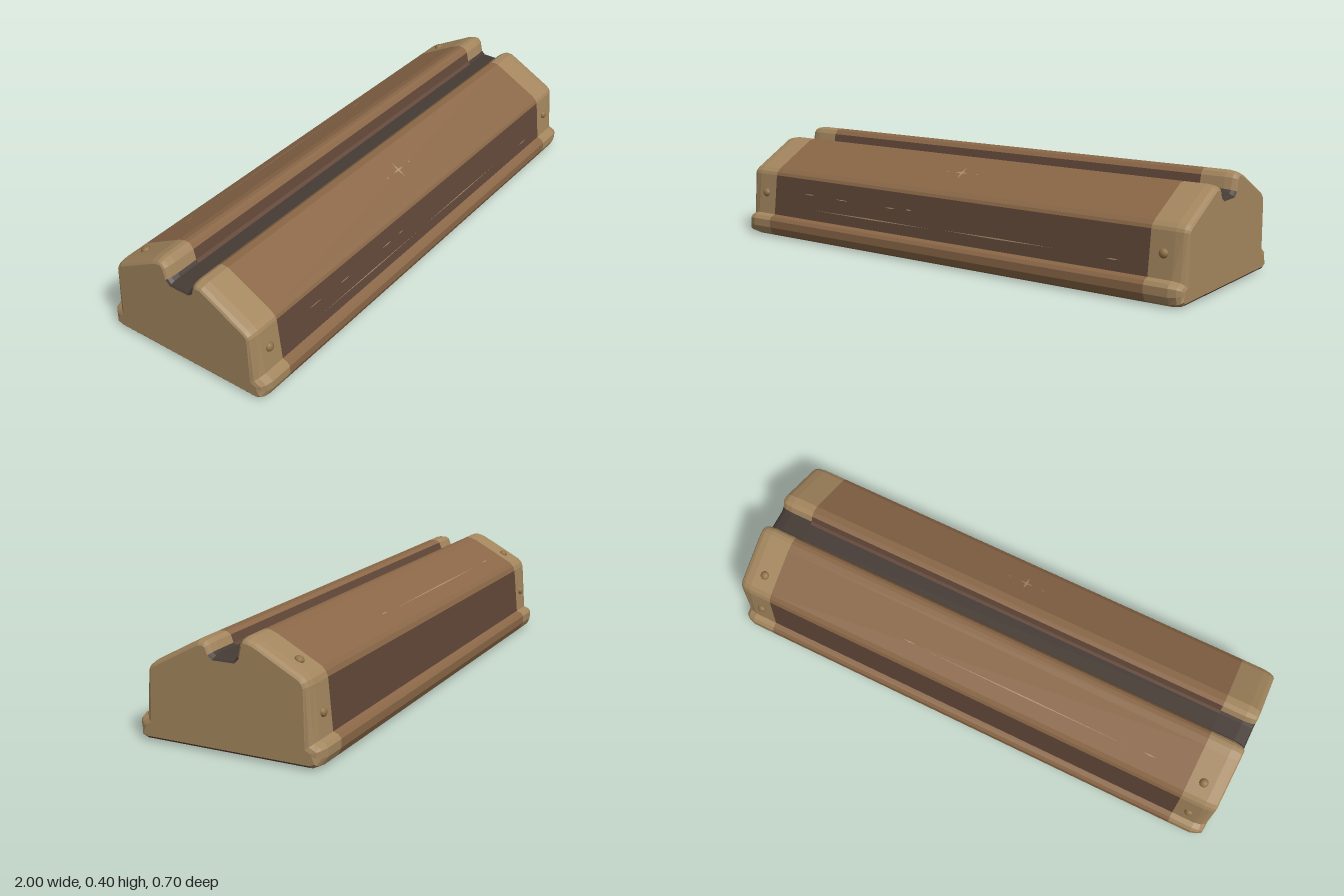
import * as THREE from 'three';

const mat = (name, color) => Object.assign(new THREE.MeshStandardMaterial({ color }), { name });

// Cross-section as [z, y], from the front foot over the top to the back foot
const profile = [
  [0.31, 0], [0.337, 0.013], [0.35, 0.04], [0.35, 0.07], [0.34, 0.083], [0.32, 0.09],
  [0.301, 0.25], [0.296, 0.262], [0.28, 0.276], [0.1, 0.373], [0.072, 0.374], [0.056, 0.364],
  [0.046, 0.338], [0.036, 0.33], [-0.034, 0.33], [-0.044, 0.34], [-0.053, 0.38], [-0.064, 0.395],
  [-0.076, 0.4], [-0.092, 0.4], [-0.12, 0.39], [-0.282, 0.303], [-0.296, 0.288], [-0.303, 0.27],
  [-0.32, 0.09], [-0.34, 0.083], [-0.35, 0.07], [-0.35, 0.04], [-0.337, 0.013], [-0.31, 0],
].map(([z, y]) => new THREE.Vector2(z, y));
const N = profile.length;

// Outward direction of a profile edge
function edgeNormal(i) {
  const d = profile[(i + 1) % N].clone().sub(profile[i]).normalize();
  return new THREE.Vector2(d.y, -d.x);
}

// Profile pulled inwards; the foot rail rounds off more than the rest
function inset(amount) {
  return profile.map((p, i) => {
    const n = edgeNormal(i).add(edgeNormal((i + N - 1) % N)).normalize();
    const k = p.y > 0.02 && p.y < 0.095 ? 2.2 : 1;
    return p.clone().addScaledVector(n, -amount * k);
  });
}

function facetedMesh(name, positions, material) {
  const g = new THREE.BufferGeometry();
  g.setAttribute('position', new THREE.Float32BufferAttribute(positions, 3));
  g.computeVertexNormals();
  const m = new THREE.Mesh(g, material);
  m.name = name;
  return m;
}

// Skin over the profile edges [from..to] along rings of { x, pts } with rising x
function skin(name, rings, ranges, material) {
  const out = [];
  const put = (ring, i) => out.push(ring.x, ring.pts[i % N].y, ring.pts[i % N].x);
  for (let r = 0; r < rings.length - 1; r++) {
    const a = rings[r], b = rings[r + 1];
    for (const [from, to] of ranges) {
      for (let i = from; i <= to; i++) {
        put(a, i); put(b, i); put(b, i + 1);
        put(a, i); put(b, i + 1); put(a, i + 1);
      }
    }
  }
  return facetedMesh(name, out, material);
}

// Flat closing face at either end
function endFace(x, pts, material) {
  const out = [];
  for (const tri of THREE.ShapeUtils.triangulateShape(pts, [])) {
    if (x > 0) tri.reverse();
    for (const i of tri) out.push(x, pts[i].y, pts[i].x);
  }
  return facetedMesh('endFace', out, material);
}

// Put a part on a profile edge, its local z pointing outwards
function mount(part, edge, t, x, lift = 0) {
  const n = edgeNormal(edge);
  const p = profile[edge].clone().lerp(profile[(edge + 1) % N], t).addScaledVector(n, lift);
  part.position.set(x, p.y, p.x);
  part.rotation.x = -Math.atan2(n.y, n.x);
  return part;
}

// Thin pointed sliver
function sliver(name, width, height, material) {
  const w = width / 2, h = height / 2;
  const shape = new THREE.Shape([[-w, 0], [0, -h], [w, 0], [0, h]].map(p => new THREE.Vector2(...p)));
  const m = new THREE.Mesh(new THREE.ShapeGeometry(shape), material);
  m.name = name;
  return m;
}

export function createModel() {
  const model = new THREE.Group();
  model.name = 'groovedBlock';
  const tan = mat('tan', 0xa3865e);
  const brown = mat('brown', 0x8a6747);
  const darkBrown = mat('darkBrown', 0x614738);
  const charcoal = mat('charcoal', 0x463b35);
  const bronze = mat('bronze', 0x8f7248);
  const scratch = mat('paleScratch', 0xa88e70);

  // Long body between the end caps
  const capX = 0.865;
  const body = new THREE.Group();
  body.name = 'body';
  const span = [{ x: -capX, pts: profile }, { x: capX, pts: profile }];
  body.add(
    skin('trim', span, [[0, 4], [6, 10], [16, 22], [24, 28]], brown),
    skin('sidePanels', span, [[5, 5], [11, 12], [14, 15], [23, 23]], darkBrown),
    skin('grooveAndUnderside', span, [[13, 13], [29, 29]], charcoal),
  );
  model.add(body);

  // Rounded end caps with studs
  const steps = [[capX, 0], [0.955, 0], [0.982, 0.004], [0.995, 0.01], [1, 0.017]];
  for (const side of [-1, 1]) {
    const cap = new THREE.Group();
    cap.name = side > 0 ? 'leftCap' : 'rightCap';
    const rings = steps.map(([x, d]) => ({ x: side * x, pts: inset(d) }));
    if (side < 0) rings.reverse();
    cap.add(
      skin('capShell', rings, [[0, 11], [15, 28]], tan),
      skin('capGroove', rings, [[12, 14]], charcoal),
      skin('capUnderside', rings, [[29, 29]], darkBrown),
      endFace(side, inset(0.017), tan),
    );
    for (const [edge, t] of [[5, 0.53], [20, 0.68], [23, 0.55]]) {
      const stud = new THREE.Mesh(new THREE.SphereGeometry(0.017, 12, 8), bronze);
      stud.name = 'stud';
      stud.scale.z = 0.75;
      cap.add(mount(stud, edge, t, side * 0.917));
    }
    model.add(cap);
  }

  // Four-pointed sparkle on the front slope
  const sparkle = new THREE.Group();
  sparkle.name = 'sparkle';
  sparkle.add(sliver('sparkleWide', 0.06, 0.01, scratch), sliver('sparkleTall', 0.01, 0.07, scratch));
  for (const s of [-1, 1]) {
    const dash = sliver('sparkleDash', 0.016, 0.004, scratch);
    dash.position.x = s * 0.07;
    sparkle.add(dash);
  }
  model.add(mount(sparkle, 8, 0.53, 0, 0.004));

  // Fine scratches: edge, position along it, x, length
  const scratches = [
    [5, 0.28, 0.25, 0.5], [5, 0.26, -0.35, 0.6], [5, 0.25, 0.73, 0.06],
    [5, 0.63, -0.67, 0.06], [5, 0.61, -0.5, 0.06], [5, 0.6, -0.25, 0.06], [5, 0.62, -0.16, 0.03],
    [20, 0.66, -0.2, 0.83], [20, 0.64, -0.7, 0.05], [20, 0.64, 0.29, 0.05],
  ];
  for (const [edge, t, x, length] of scratches) {
    model.add(mount(sliver('scratch', length, 0.005, scratch), edge, t, x, 0.002));
  }
  return model;
}
